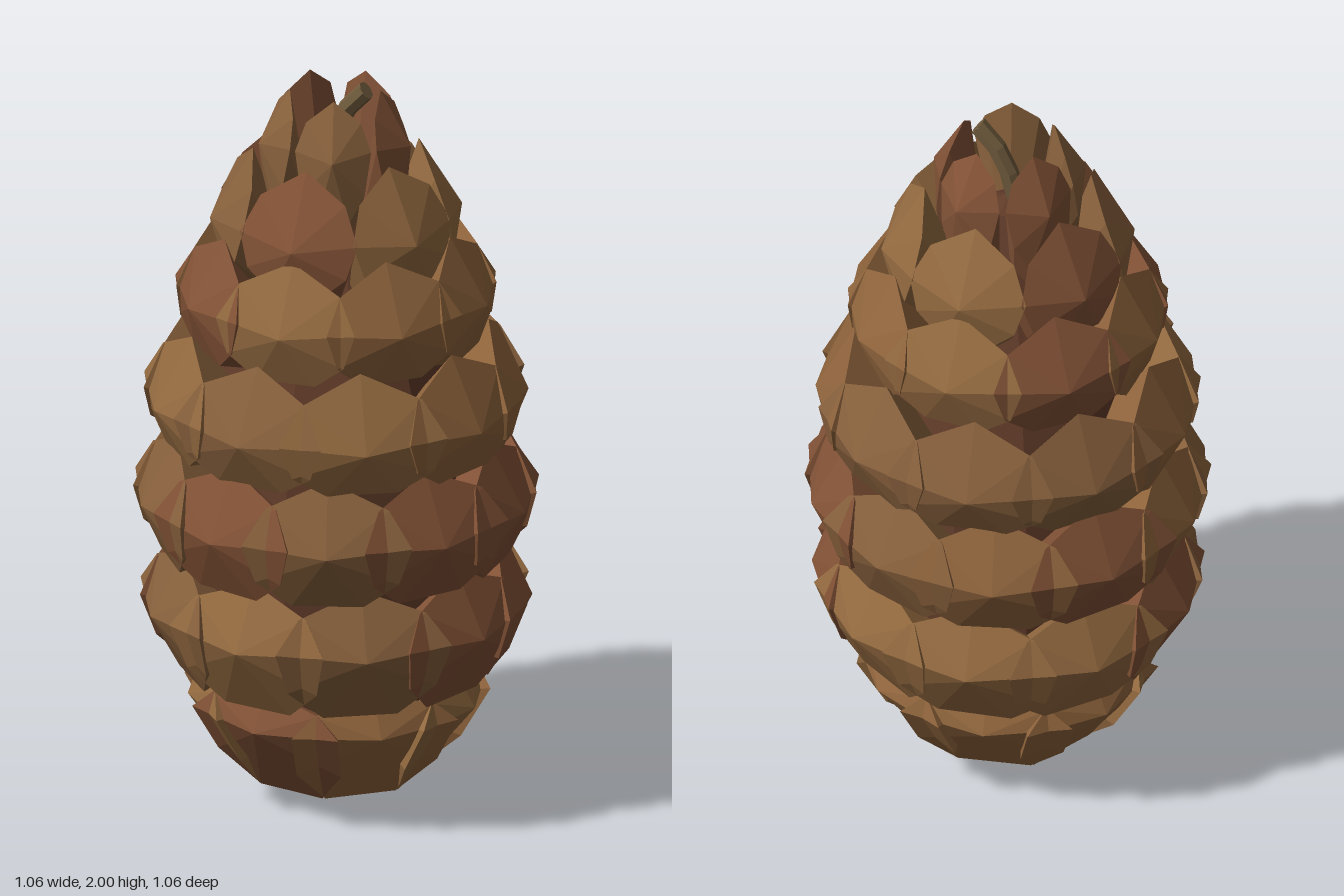
import * as THREE from 'three';

const BROWNS = [0x92693f, 0x825236, 0x87603c, 0x8f643c];

// Each row: scale count, first angle, half width, then [radius, height] of
// the raised centre, upper tip, lower edge and inner root; mid = rim radius.
// Rows alternate between a scale and a joint facing +x.
const ROWS = [
  { n: 7, start: 90, w: 0.23, mid: 0.335, boss: [0.39, 0.28], tip: [0.33, 0.385], low: [0.21, 0.06], root: [0.05, 0.25] },
  { n: 9, start: 110, w: 0.235, mid: 0.465, boss: [0.515, 0.55], tip: [0.42, 0.72], low: [0.4, 0.36], root: [0.1, 0.46] },
  { n: 10, start: 18, w: 0.225, mid: 0.49, boss: [0.53, 0.85], tip: [0.43, 1.035], low: [0.45, 0.69], root: [0.1, 0.74] },
  { n: 9, start: 110, w: 0.225, mid: 0.46, boss: [0.505, 1.13], tip: [0.4, 1.325], low: [0.44, 1.0], root: [0.1, 0.97] },
  { n: 8, start: 0, w: 0.195, mid: 0.38, boss: [0.425, 1.42], tip: [0.32, 1.6], low: [0.37, 1.28], root: [0.06, 1.18] },
  { n: 6, start: 0, w: 0.165, mid: 0.28, boss: [0.335, 1.63], tip: [0.22, 1.82], low: [0.3, 1.5], root: [0.04, 1.3] },
  { n: 5, start: 18, w: 0.1, mid: 0.155, boss: [0.21, 1.84], tip: [0.125, 1.985], low: [0.18, 1.66], root: [0.03, 1.42] },
];

// Shield outline, anticlockwise from the tip: across and up, both -1 to 1
const OUTLINE = [
  [0, 1], [-0.72, 0.62], [-1, 0.1], [-0.84, -0.55], [-0.42, -1],
  [0.42, -1], [0.84, -0.55], [1, 0.1], [0.72, 0.62],
];

// A faceted shield with a raised centre, tapering back to a root in the core
function scaleGeometry({ w, mid, boss, tip, low, root }) {
  const lerp = THREE.MathUtils.lerp;
  const rim = OUTLINE.map(([u, v]) => {
    const end = v > 0 ? tip : low;
    return [u * w, lerp(boss[1], end[1], Math.abs(v)), lerp(mid, end[0], Math.abs(v))];
  });
  const front = [0, boss[1], boss[0]];
  const back = [0, root[1], root[0]];
  const points = [];
  rim.forEach((a, i) => {
    const b = rim[(i + 1) % rim.length];
    points.push(...front, ...a, ...b, ...back, ...b, ...a);
  });
  const geometry = new THREE.BufferGeometry();
  geometry.setAttribute('position', new THREE.Float32BufferAttribute(points, 3));
  geometry.computeVertexNormals();
  return geometry;
}

export function createModel() {
  const model = new THREE.Group();
  model.name = 'pinecone';
  const matte = (color) => new THREE.MeshStandardMaterial({ color, flatShading: true });
  const browns = BROWNS.map(matte);

  // Core, showing at the bottom and between the scales
  const profile = [
    [0, 0], [0.2, 0.06], [0.28, 0.16], [0.32, 0.38], [0.38, 0.6], [0.38, 0.85],
    [0.34, 1.12], [0.25, 1.4], [0.14, 1.6], [0.06, 1.75], [0, 1.78],
  ].map(([r, y]) => new THREE.Vector2(r, y));
  const core = new THREE.Mesh(new THREE.LatheGeometry(profile, 12), matte(0x5f3a28));
  core.name = 'core';
  model.add(core);

  // Rings of overlapping scales
  ROWS.forEach((row, r) => {
    const ring = new THREE.Group();
    ring.name = `scaleRow${r + 1}`;
    const geometry = scaleGeometry(row);
    for (let i = 0; i < row.n; i++) {
      const scale = new THREE.Mesh(geometry, browns[(i * 3 + r * 5 + ((i * i) >> 2)) % browns.length]);
      scale.name = 'scale';
      scale.rotation.y = THREE.MathUtils.degToRad(row.start) + (i * 2 * Math.PI) / row.n;
      ring.add(scale);
    }
    model.add(ring);
  });

  // Bent stem at the top, with a flat end
  const stem = new THREE.Group();
  stem.name = 'stem';
  const path = new THREE.QuadraticBezierCurve3(
    new THREE.Vector3(-0.03, 1.7, 0), new THREE.Vector3(-0.02, 1.9, 0), new THREE.Vector3(0.085, 1.98, 0));
  const bark = matte(0x6e5a3c);
  const stalk = new THREE.Mesh(new THREE.TubeGeometry(path, 4, 0.026, 7), bark);
  stalk.name = 'stalk';
  const cap = new THREE.Mesh(new THREE.CircleGeometry(0.026, 7), bark);
  cap.name = 'stalkEnd';
  cap.position.copy(path.getPoint(1));
  cap.lookAt(path.getPoint(1).add(path.getTangent(1)));
  stem.add(stalk, cap);
  model.add(stem);

  return model;
}
